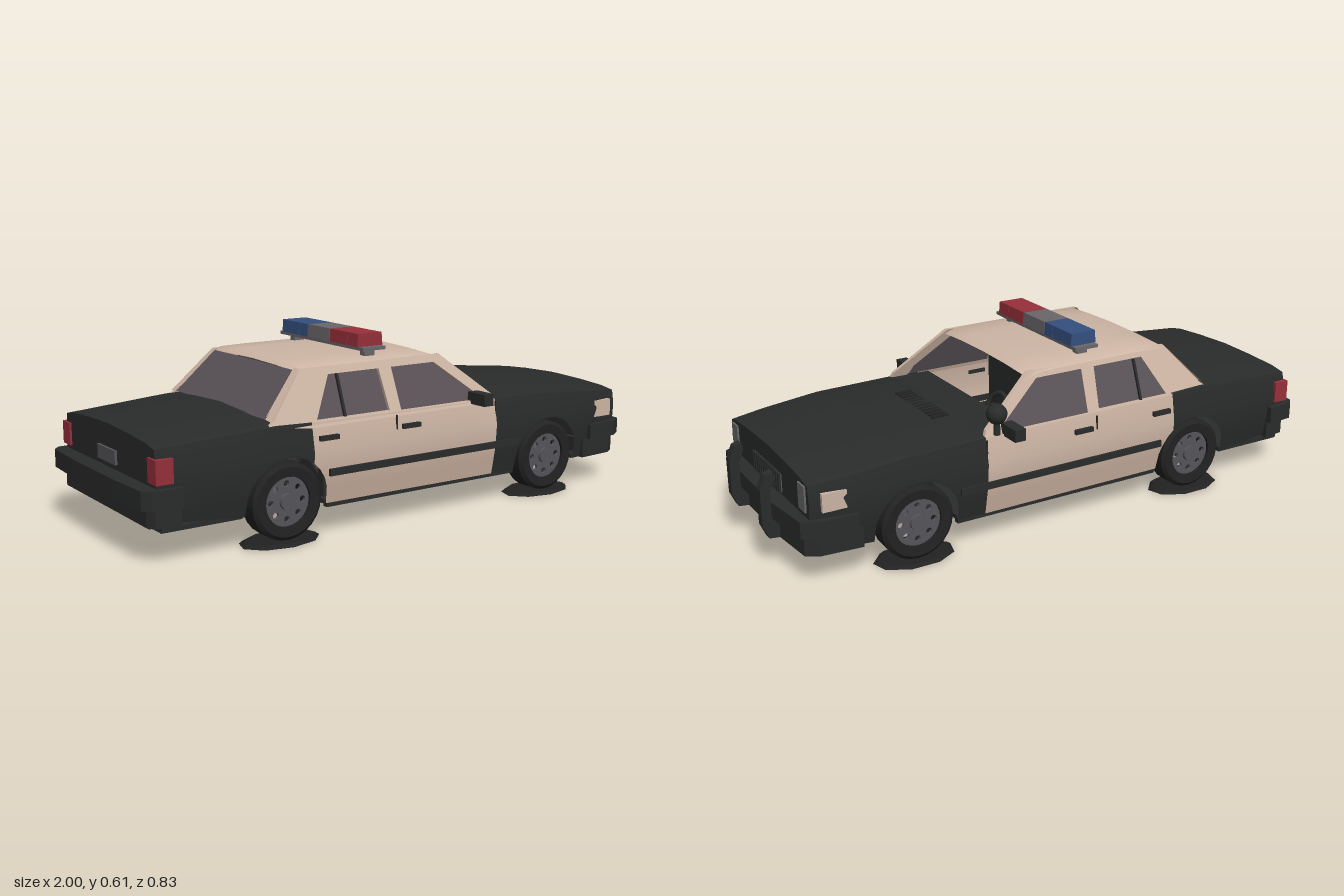
import * as THREE from 'three';
import { toCreasedNormals } from 'three/addons/utils/BufferGeometryUtils.js';

const mat = (name, color, side = THREE.FrontSide) => {
  const m = new THREE.MeshStandardMaterial({ color, side });
  m.name = name;
  return m;
};

// piecewise linear lookup
const lerp = (table, t) => {
  if (t <= table[0][0]) return table[0][1];
  for (let i = 1; i < table.length; i++) {
    const [a, va] = table[i - 1], [b, vb] = table[i];
    if (t <= b) return va + (vb - va) * (t - a) / (b - a);
  }
  return table[table.length - 1][1];
};

// surface through rows of points
const grid = (rows, crease = 0.5) => {
  const n = rows[0].length, index = [];
  for (let u = 0; u < rows.length - 1; u++) for (let v = 0; v < n - 1; v++) {
    const a = u * n + v, b = a + n;
    index.push(a, b, a + 1, a + 1, b, b + 1);
  }
  const g = new THREE.BufferGeometry();
  g.setAttribute('position', new THREE.Float32BufferAttribute(rows.flat(2), 3));
  g.setIndex(index);
  g.computeVertexNormals();
  return toCreasedNormals(g, crease);
};

const shapeOf = pts => new THREE.Shape(pts.map(p => new THREE.Vector2(...p)));
const extrude = (shape, depth) => new THREE.ExtrudeGeometry(shape, { depth, bevelEnabled: false, curveSegments: 8 });

export function createModel() {
  const black = mat('black paint', 0x2a2b2b, THREE.DoubleSide);
  const cream = mat('cream paint', 0xcdb5a4, THREE.DoubleSide);
  const glass = mat('grey glass', 0x5a5257);
  const tyre = mat('tyre rubber', 0x222222);
  const steel = mat('steel grey', 0x55555a);
  const red = mat('red lens', 0x96303a);
  const blue = mat('blue lens', 0x35507f);
  const clear = mat('clear lens grey', 0x6a676a);
  const car = new THREE.Group();
  car.name = 'patrolCar';
  const add = (name, geo, m, x = 0, y = 0, z = 0, parent = car) => {
    const mesh = new THREE.Mesh(geo, m);
    mesh.name = name;
    mesh.position.set(x, y, z);
    parent.add(mesh);
    return mesh;
  };
  // box given by its limits
  const box = (name, m, x0, x1, y0, y1, z0, z1) =>
    add(name, new THREE.BoxGeometry(x1 - x0, y1 - y0, z1 - z0), m, (x0 + x1) / 2, (y0 + y1) / 2, (z0 + z1) / 2);

  // lower body: cross-sections along x with open wheel arches
  const axles = [-0.51, 0.565], archR = 0.145;
  const plan = [[-0.97, 0.335], [-0.6, 0.36], [0.6, 0.362], [0.8, 0.35], [0.95, 0.325]];
  const flank = [[0.1, 0.93], [0.2, 0.985], [0.28, 1], [0.365, 0.955]];
  const shoulder = [[-0.95, 0.352], [-0.55, 0.376], [-0.42, 0.372], [0.32, 0.366], [0.6, 0.36], [0.92, 0.33]];
  const sill = [[-0.95, 0.13], [-0.65, 0.105], [0.75, 0.1], [0.93, 0.12]];
  const bottom = x => {
    for (const c of axles) {
      const d = Math.abs(x - c);
      if (d < archR - 1e-4) return 0.13 + Math.sqrt(archR * archR - d * d);
    }
    return lerp(sill, x);
  };
  const side = (x, s) => {
    const w = lerp(plan, x), top = lerp(shoulder, x), yb = bottom(x);
    return [yb, 0.16, 0.2, 0.28, top].map(r => {
      const y = Math.max(r, yb);
      return [x, y, s * w * lerp(flank, y)];
    });
  };
  const loop = x => {
    const w = lerp(plan, x), top = lerp(shoulder, x);
    const crown = [0.8, 0.45, 0, -0.45, -0.8].map((f, i) => [x, top + [0.01, 0.018, 0.023, 0.018, 0.01][i], f * w]);
    return [...side(x, 1), ...crown, ...side(x, -1).reverse()];
  };
  const stations = (a, b) => {
    const xs = [a, b];
    for (const c of axles) for (let k = 0; k <= 14; k++) xs.push(c + archR * Math.cos(k * Math.PI / 14));
    for (let x = -0.85; x < 0.9; x += 0.15) xs.push(x);
    return xs.filter(x => x >= a && x <= b).sort((p, q) => p - q);
  };
  const nose = 0.915, tail = -0.945, doorBack = -0.42, doorFront = 0.32;
  add('rearBody', grid(stations(tail, doorBack).map(loop)), black);
  add('frontBody', grid(stations(doorFront, nose).map(loop)), black);
  for (const [name, x] of [['tailPanel', tail], ['nosePanel', nose]]) {
    const l = loop(x), half = l.slice(0, 8);
    add(name, grid([half, half.map(p => [p[0], p[1], -p[2]])]), black);
  }

  // flat underbody, notched around the wheels
  box('underbody', black, -0.92, 0.9, 0.085, 0.11, -0.22, 0.22);
  for (const [a, b] of [[-0.93, -0.66], [-0.365, 0.42], [0.71, 0.9]])
    box('underbodyPan', black, a, b, 0.1, 0.115, -0.325, 0.325);

  // cabin sides, doors and trim
  const frame = [[-0.57, 0.375], [-0.55, 0.39], [-0.425, 0.53], [0.125, 0.53], [0.31, 0.385], [0.325, 0.355], [-0.43, 0.355]];
  const windows = [
    [[-0.4, 0.375], [-0.325, 0.507], [-0.13, 0.507], [-0.12, 0.375]],
    [[-0.075, 0.37], [-0.08, 0.507], [0.095, 0.507], [0.235, 0.4], [0.25, 0.37]]];
  // lean a flat side panel inward with height
  const lean = (geo, s, inset) => {
    const p = geo.attributes.position;
    for (let i = 0; i < p.count; i++)
      p.setZ(i, p.getZ(i) + s * (0.345 - (p.getY(i) - 0.36) * 0.38 - inset) - (s > 0 ? 0.006 : 0));
    geo.computeVertexNormals();
    return geo;
  };
  for (const s of [1, -1]) {
    add('doorPanels', grid(stations(doorBack, doorFront).map(x => side(x, s))), cream);
    const shape = shapeOf(frame);
    shape.holes = windows.map(w => new THREE.Path(w.map(p => new THREE.Vector2(...p))));
    add('cabinSide', lean(extrude(shape, 0.014), s, 0.006), cream);
    for (const w of windows) add('sideWindow', lean(extrude(shapeOf(w), 0.004), s, 0.008), glass);
    const zb = s * 0.352;
    box('rubStrip', black, -0.365, 0.42, 0.197, 0.22, Math.min(zb, s * 0.365), Math.max(zb, s * 0.365));
    box('rocker', black, -0.36, 0.42, 0.09, 0.11, s * 0.325 - 0.01, s * 0.325 + 0.01);
    for (const x of [-0.365, -0.045]) box('doorHandle', black, x - 0.035, x + 0.035, 0.313, 0.328, s * 0.358 - 0.007, s * 0.358 + 0.007);
    for (const x of [-0.1, doorFront]) box('doorSeam', black, x - 0.002, x + 0.002, 0.23, 0.36, s * 0.352 - 0.003, s * 0.352 + 0.003);
    const bar = add('windowDivider', lean(new THREE.BoxGeometry(0.008, 0.13, 0.01).translate(-0.29, 0.44, 0), s, 0.004), black);
    bar.position.z = s > 0 ? 0.006 : 0;
    // pillars seen from the front and back
    add('rearPillar', grid([[[-0.56, 0.387, s * 0.333], [-0.425, 0.53, s * 0.28]], [[-0.56, 0.39, s * 0.295], [-0.425, 0.533, s * 0.25]]]), cream);
    add('windscreenPillar', grid([[[0.31, 0.385, s * 0.335], [0.125, 0.53, s * 0.28]], [[0.31, 0.387, s * 0.32], [0.125, 0.532, s * 0.262]]]), cream);
    // door mirrors
    box('mirror', black, 0.215, 0.255, 0.36, 0.4, s * 0.372 - 0.043, s * 0.372 + 0.043);
    // lamps
    box('turnLamp', cream, 0.8, 0.88, 0.245, 0.305, s * 0.341 - 0.007, s * 0.341 + 0.007);
    box('headlamp', clear, 0.91, 0.921, 0.24, 0.325, s * 0.285 - 0.025, s * 0.285 + 0.025);
    box('tailLamp', red, -0.952, -0.895, 0.25, 0.325, s * 0.318 - 0.028, s * 0.318 + 0.028);
    // push bars on the front bumper
    const bars = [[0.93, 0.1], [0.98, 0.105], [1, 0.15], [1, 0.27], [0.98, 0.315], [0.955, 0.322], [0.95, 0.3], [0.968, 0.26], [0.968, 0.17], [0.93, 0.15]];
    add('pushBar', extrude(shapeOf(bars), 0.03), black, 0, 0, s * 0.137 - 0.015);
  }

  // roof and rear window
  const roofRow = ([x, dy]) => [[0.282, 0.526], [0.262, 0.537], [0.15, 0.543], [0, 0.546], [-0.15, 0.543], [-0.262, 0.537], [-0.282, 0.526]]
    .map(([z, y]) => [x, y - dy, z]);
  add('roof', grid([[-0.43, 0.016], [-0.405, 0.002], [-0.3, 0], [0, 0], [0.09, 0.003], [0.135, 0.018]].map(roofRow), 0.8), cream);
  add('rearWindow', grid([-1, 1].map(s => [[-0.56, 0.39, s * 0.3], [-0.43, 0.525, s * 0.255]])), glass);

  // bumpers from a mirrored plan outline
  const bumper = (name, pts, y, h) => {
    const all = [...pts, ...pts.map(([x, z]) => [x, -z]).reverse()];
    add(name, extrude(shapeOf(all), h).rotateX(Math.PI / 2), black, 0, y, 0);
  };
  bumper('frontBumper', [[0.77, 0.362], [0.9, 0.352], [0.945, 0.325], [0.965, 0.15]], 0.222, 0.055);
  bumper('frontValance', [[0.75, 0.345], [0.89, 0.335], [0.93, 0.31], [0.945, 0.15]], 0.167, 0.067);
  bumper('rearBumper', [[-0.87, 0.358], [-0.97, 0.35], [-0.992, 0.325], [-1, 0.15]], 0.237, 0.06);
  bumper('rearValance', [[-0.87, 0.34], [-0.95, 0.33], [-0.965, 0.3]], 0.177, 0.06);

  // grille, number plate holder and hood vents
  box('grille', steel, 0.912, 0.918, 0.232, 0.292, -0.115, 0.115);
  for (let i = 0; i < 13; i++) box('grilleSlat', black, 0.914, 0.925, 0.23, 0.295, -0.113 + i * 0.018, -0.103 + i * 0.018);
  box('plateHolder', steel, -0.953, -0.944, 0.255, 0.3, -0.065, 0.065);
  for (let i = 0; i < 12; i++) box('hoodVent', tyre, 0.345, 0.405, 0.376, 0.388, -0.15 + i * 0.024, -0.138 + i * 0.024);

  // interior
  box('dashboard', black, 0.18, 0.335, 0.28, 0.372, -0.315, 0.315);
  for (const s of [1, -1]) {
    box('frontSeat', black, -0.06, 0.12, 0.115, 0.22, s * 0.16 - 0.13, s * 0.16 + 0.13);
    box('frontSeatBack', black, -0.12, -0.06, 0.115, 0.41, s * 0.16 - 0.13, s * 0.16 + 0.13);
  }
  box('rearSeat', black, -0.35, -0.2, 0.115, 0.24, -0.3, 0.3);
  const back = shapeOf([[-0.27, 0.12], [0.27, 0.12], [0.27, 0.45], [0, 0.482], [-0.27, 0.45]]);
  add('rearSeatBack', extrude(back, 0.012).rotateY(Math.PI / 2), glass, -0.35);
  const wheel = add('steeringWheel', new THREE.TorusGeometry(0.058, 0.009, 6, 16).rotateY(Math.PI / 2), black, 0.17, 0.37, -0.155);
  wheel.rotation.z = 0.4;

  // roof light bar
  box('lightBarBase', clear, -0.165, -0.075, 0.56, 0.571, -0.255, 0.255);
  for (const s of [1, -1]) box('lightBarFoot', clear, -0.14, -0.1, 0.535, 0.562, s * 0.215 - 0.013, s * 0.215 + 0.013);
  for (const [m, a, b] of [[red, 0.17, 0.23], [red, 0.067, 0.168], [clear, -0.068, 0.064], [blue, -0.12, -0.071], [blue, -0.234, -0.122]]) {
    const lens = box('lightBarLens', m, -0.17, -0.07, 0.571, 0.614, a, b), p = lens.geometry.attributes.position;
    for (let i = 0; i < p.count; i++) if (p.getY(i) > 0) p.setX(i, p.getX(i) * 0.93);
    lens.geometry.computeVertexNormals();
  }

  // spotlight by the windscreen
  add('spotlight', new THREE.SphereGeometry(0.034, 14, 10), black, 0.285, 0.443, -0.353);
  add('spotlightPost', new THREE.CylinderGeometry(0.01, 0.012, 0.05, 8), black, 0.28, 0.395, -0.345);

  // wheels with pierced rims and flat ground patches
  const tyrePts = [[0.08, -0.04], [0.112, -0.043], [0.124, -0.033], [0.124, 0.033], [0.112, 0.043], [0.08, 0.04], [0.08, -0.04]]
    .map(p => new THREE.Vector2(...p));
  const tyreGeo = toCreasedNormals(new THREE.LatheGeometry(tyrePts, 24).rotateX(Math.PI / 2), 0.6);
  const rim = new THREE.Shape().absarc(0, 0, 0.083, 0, Math.PI * 2);
  for (let k = 0; k < 8; k++) {
    const a = k * Math.PI / 4;
    rim.holes.push(new THREE.Path().absarc(0.057 * Math.cos(a), 0.057 * Math.sin(a), 0.01, 0, Math.PI * 2));
  }
  for (const x of axles) for (const s of [1, -1]) {
    const g = new THREE.Group();
    g.name = 'wheel';
    g.position.set(x, 0.134, s * 0.308);
    car.add(g);
    add('tyre', tyreGeo, tyre, 0, 0, 0, g);
    add('rim', extrude(rim, 0.01), steel, 0, 0, s * 0.025 - 0.005, g);
    add('hub', new THREE.CylinderGeometry(0.026, 0.034, 0.07, 12).rotateX(s * Math.PI / 2), steel, 0, 0, s * 0.004, g);
    const patch = add('groundPatch', new THREE.CylinderGeometry(0.125, 0.14, 0.01, 9), tyre, x - 0.005, 0.009, s * 0.3);
    patch.scale.z = 0.62;
    patch.geometry.translate(0, -0.004, 0);
  }
  return car;
}
